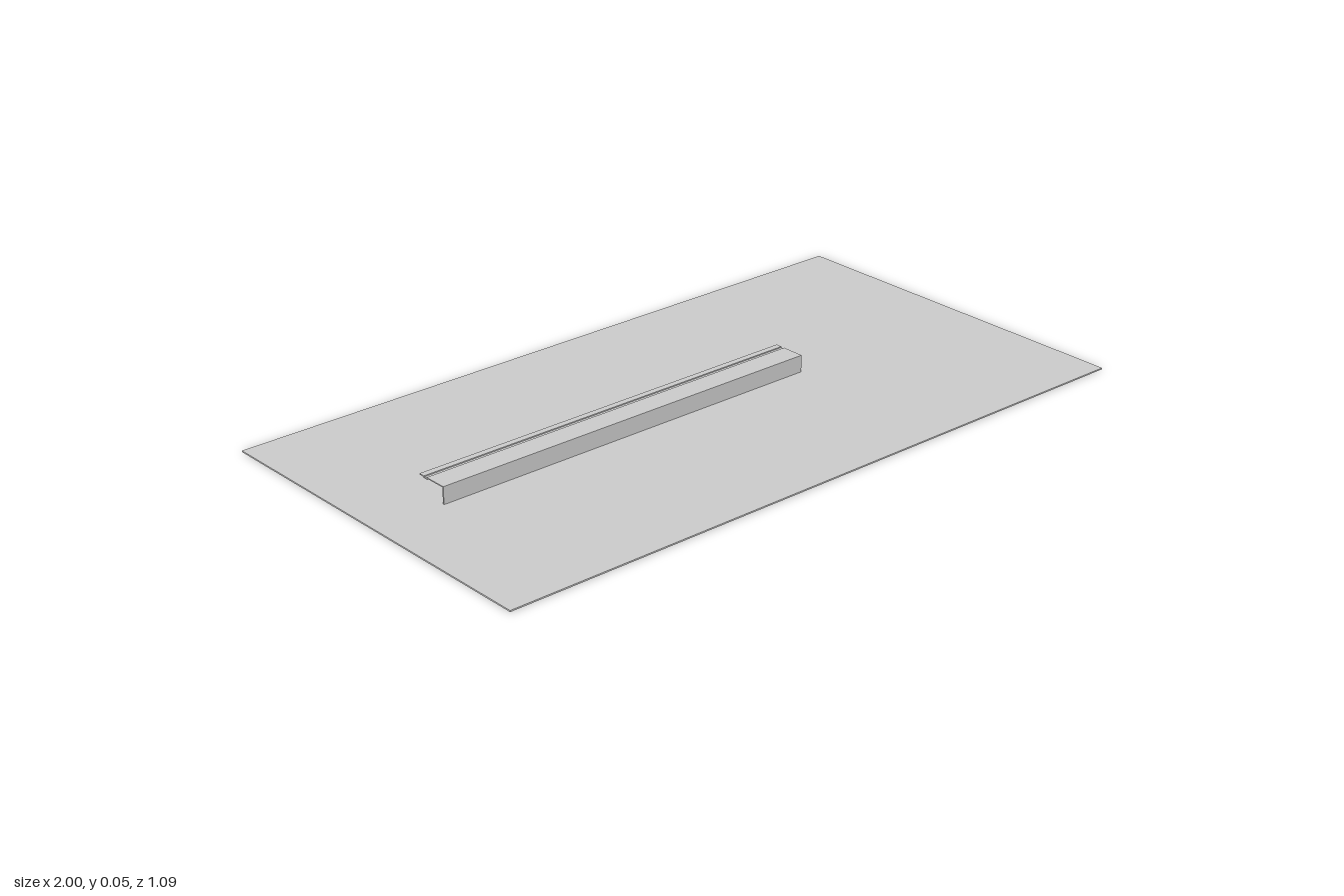
import * as THREE from 'three';

const material = (color) => new THREE.MeshStandardMaterial({ color, flatShading: true });
const grey = material(0xcccccc);

// Box given by its minimum and maximum on each axis
function box(name, [x0, x1], [y0, y1], [z0, z1], mat = grey) {
  const mesh = new THREE.Mesh(new THREE.BoxGeometry(x1 - x0, y1 - y0, z1 - z0), mat);
  mesh.position.set((x0 + x1) / 2, (y0 + y1) / 2, (z0 + z1) / 2);
  mesh.name = name;
  return mesh;
}

export function createModel() {
  const model = new THREE.Group();
  model.name = 'lightBarOnSheet';

  const left = 0.38, right = -0.8, top = 0.053, base = 0.005;
  const length = [right, left];

  // Thin base sheet
  model.add(box('baseSheet', [-1, 1], [0.001, base], [-0.543, 0.543]));

  // Housing: front wall, cover in two strips with a narrow slot, one end cap
  const housing = new THREE.Group();
  housing.name = 'housing';
  housing.add(
    box('frontWall', length, [base, top], [0.026, 0.03]),
    box('coverFront', length, [top - 0.003, top], [-0.037, 0.026]),
    box('coverBack', length, [top - 0.003, top], [-0.066, -0.048]),
    box('slotFloor', length, [top - 0.006, top - 0.003], [-0.05, -0.035]),
    box('endCap', [left - 0.004, left], [base, top - 0.003], [-0.062, 0.026])
  );
  model.add(housing);

  // Row of colour tiles along the back, shorter than the cover
  const strip = new THREE.Group();
  strip.name = 'colourStrip';
  const tiles = [
    ['redTile', material(0xff0000)],
    ['greenTile', material(0x00ff00)],
    ['blueTile', material(0x0000ff)],
    ['plainTile', grey],
  ];
  const width = 0.0461;
  for (let i = 0; i < 24; i++) {
    const [name, mat] = tiles[i % 4];
    const x = left - i * width;
    strip.add(box(name, [x - width, x], [0, top - 0.003], [-0.0635, -0.0595], mat));
  }
  model.add(strip);

  return model;
}
